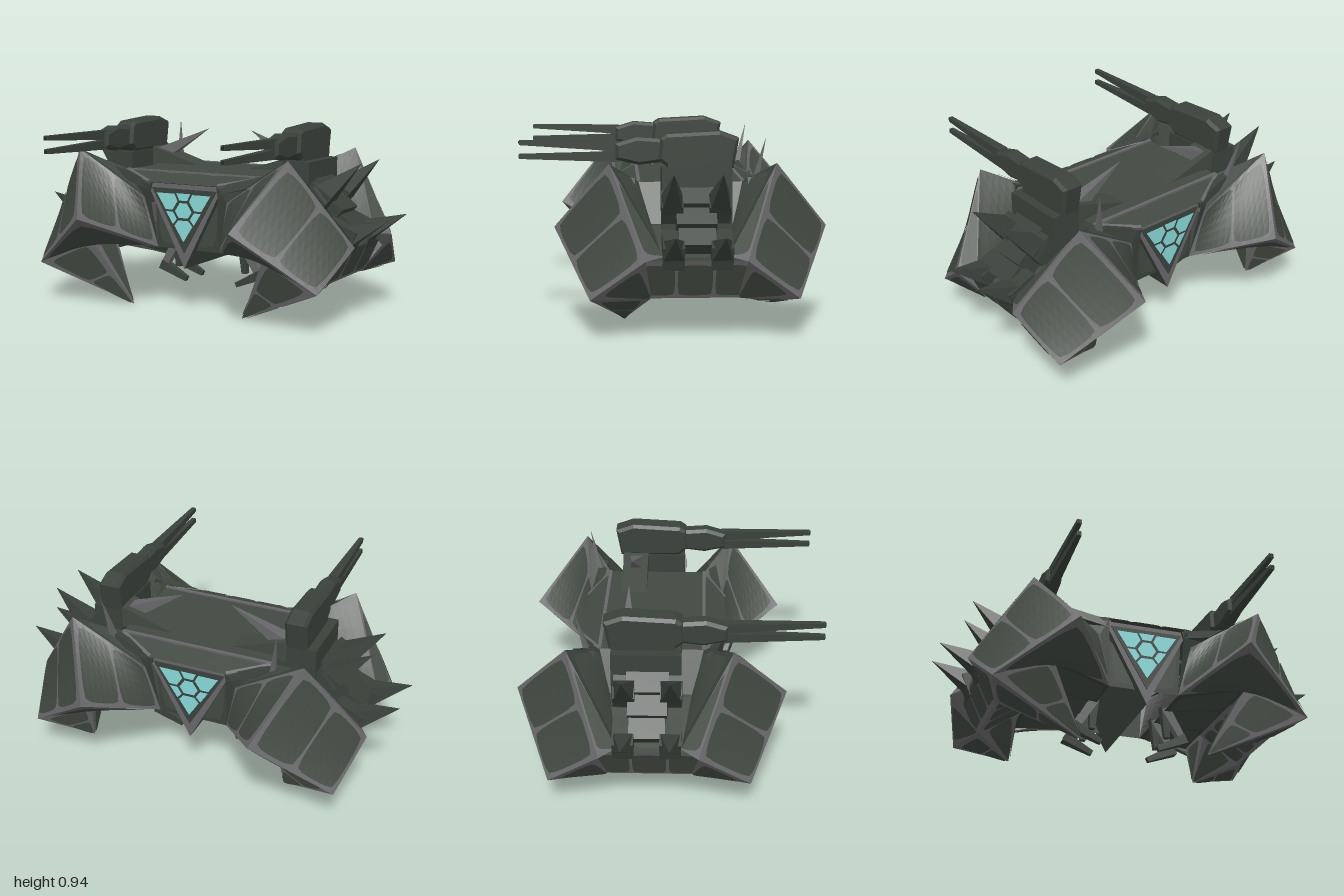
import * as THREE from 'three';

const mat = (name, color, side = THREE.FrontSide) => {
  const m = new THREE.MeshStandardMaterial({ color, flatShading: true, side });
  m.name = name;
  return m;
};
const armour = mat('dark green armour', 0x414841, THREE.DoubleSide);
const trim = mat('grey trim', 0x676668, THREE.DoubleSide);
const steel = mat('dark gun steel', 0x3a413b, THREE.DoubleSide);
const shadow = mat('near black recess', 0x232623);
const glow = mat('cyan crystal', 0x86d8d8, THREE.DoubleSide);

const V = (p) => new THREE.Vector3(...p);
const MID = -0.08; // z of the hull's middle
// point given as x, y and distance from the hull's middle, mirrored to a corner
const place = (p, sx, sz) => [p[0] * sx, p[1], MID + p[2] * sz];
const outline = (points) => new THREE.Shape(points.map((p) => new THREE.Vector2(...p)));

function add(parent, name, geometry, material) {
  const m = new THREE.Mesh(geometry, material);
  m.name = name;
  parent.add(m);
  return m;
}

function geo(positions) {
  const g = new THREE.BufferGeometry();
  g.setAttribute('position', new THREE.Float32BufferAttribute(positions, 3));
  g.computeVertexNormals();
  return g;
}

// Skin of four-cornered faces, with thin rounded armour plates over an edge colour.
// Each face: [a, b, c, d, cells along ab, cells along ad]
function skin(parent, name, faces, centre, edge = trim) {
  const base = [], plates = [];
  for (const [pa, pb, pc, pd, nu = 1, nv = 1] of faces) {
    const [a, b, c, d] = [pa, pb, pc, pd].map(V);
    const n = c.clone().sub(a).cross(d.clone().sub(b)).normalize();
    const mid = a.clone().add(b).add(c).add(d).multiplyScalar(0.25);
    const out = n.dot(mid.sub(V(centre))) > 0;
    if (!out) n.negate();
    const at = (u, v, lift) => a.clone().lerp(b, u)
      .lerp(d.clone().lerp(c, u), v).addScaledVector(n, lift);
    const grid = (list, N, f) => {
      for (let i = 0; i < N; i++) for (let j = 0; j < N; j++) {
        const q = [f(i / N, j / N), f((i + 1) / N, j / N), f((i + 1) / N, (j + 1) / N), f(i / N, (j + 1) / N)];
        for (const k of out ? [0, 1, 2, 0, 2, 3] : [0, 2, 1, 0, 3, 2]) list.push(...q[k].toArray());
      }
    };
    grid(base, 8, (u, v) => at(u, v, 0));
    const gu = 0.04 / (a.distanceTo(b) + d.distanceTo(c)), gv = 0.04 / (a.distanceTo(d) + b.distanceTo(c));
    const span = (i, cells, g) => [i ? i / cells + g / 3 : g, i < cells - 1 ? (i + 1) / cells - g / 3 : 1 - g];
    for (let i = 0; i < nu; i++) for (let j = 0; j < nv; j++) {
      const [u0, u1] = span(i, nu, gu), [v0, v1] = span(j, nv, gv);
      grid(plates, 6, (s, t) => {
        const x = 2 * s - 1, y = 2 * t - 1; // squeeze the corners round
        const r = x * Math.sqrt(1 - 0.16 * y ** 4), q = y * Math.sqrt(1 - 0.16 * x ** 4);
        return at(u0 + (u1 - u0) * (r + 1) / 2, v0 + (v1 - v0) * (q + 1) / 2, 0.006);
      });
    }
  }
  add(parent, name + 'Edges', geo(base), edge);
  add(parent, name + 'Plates', geo(plates), armour);
}

// Four-sided tapered bar or spike between two points
function bar(parent, name, p, q, r0, r1, material) {
  const a = V(p), b = V(q), dir = b.clone().sub(a);
  const m = add(parent, name, new THREE.CylinderGeometry(r1, r0, dir.length(), 4).rotateY(Math.PI / 4), material);
  m.position.copy(a).add(b).multiplyScalar(0.5);
  m.quaternion.setFromUnitVectors(new THREE.Vector3(0, 1, 0), dir.normalize());
}

function box(parent, name, size, pos, rotZ, material) {
  const m = add(parent, name, new THREE.BoxGeometry(...size), material);
  m.position.set(...pos);
  m.rotation.z = rotZ;
}

// Side profile (z, y) given thickness along x
function slab(parent, name, profile, width, x, material) {
  const bevel = 0.015;
  const g = new THREE.ExtrudeGeometry(outline(profile), {
    depth: width - 2 * bevel, bevelSize: bevel, bevelOffset: -bevel, bevelThickness: bevel, bevelSegments: 1,
  });
  g.translate(0, 0, bevel - width / 2).rotateY(-Math.PI / 2);
  add(parent, name, g, material).position.x = x;
}

function addLeg(root, sx, sz) {
  const leg = new THREE.Group();
  leg.name = (sz > 0 ? 'front' : 'back') + (sx > 0 ? 'Left' : 'Right') + 'Leg';
  root.add(leg);
  const P = (x, y, w) => place([x, y, w], sx, sz);
  const A = P(0.6, 0.8, 0.39), B = P(0.43, 0.48, 0.655), C = P(0.8, 0.2, 0.48), D = P(0.875, 0.39, 0.23);
  const E = P(0.81, 0.4, 0.15), T = P(0.4, 0.69, 0.25), F = P(0.2, 0.65, 0.36), G = P(0.5, 0.5, 0.2);
  const hip = P(0.24, 0.57, 0.335);
  const low = P(0.18, 0.31, 0.3), K = P(0.5, 0.34, 0.44), K2 = P(0.52, 0.35, 0.2), S = P(0.72, 0.19, 0.2);
  const tip = sz > 0 ? P(0.32, 0, 0.32) : P(0.52, 0.125, 0.39);
  const core = P(0.5, 0.45, 0.36);
  skin(leg, 'thigh', [
    [A, B, C, D, 1, 2], [A, B, low, hip, 1, 2], [A, D, E, E], [B, C, K, low, 1, 1],
  ], core);
  skin(leg, 'innerThigh', [[A, hip, T, T], [A, T, G, E], [F, T, hip, hip], [F, hip, low, low]], core, steel);
  bar(leg, 'hipBeam', P(0.19, 0.625, 0.33), P(0.48, 0.7, 0.29), 0.03, 0.03, steel);
  skin(leg, 'foot', [
    [C, K, tip, tip, 1, 2], [K, K2, tip, tip], [K2, S, tip, tip], [S, C, tip, tip, 1, 2], [C, D, S, S],
  ], P(0.6, 0.24, 0.32));
}

// Crystal window: centre hexagon ringed by six cells
function addCrystal(parent, sz) {
  const c = new THREE.Vector2(0, 0.51);
  const tri = [[-0.168, 0.604], [0, 0.345], [0.168, 0.604]].map((p) => new THREE.Vector2(...p));
  const third = (i, t) => tri[i % 3].clone().lerp(tri[(i + 1) % 3], t);
  const inner = (p, k = 0.56) => c.clone().lerp(p, k);
  const cells = [[]];
  for (let i = 0; i < 3; i++) {
    const p = third(i, 0.36), q = third(i, 0.64), before = third(i + 2, 0.64);
    cells[0].push(inner(p, 0.52), inner(q, 0.52));
    cells.push([inner(p), p, q, inner(q)], [inner(before), before, tri[i], p, inner(p)]);
  }
  for (const cell of cells) {
    const m = cell.reduce((s, p) => s.add(p), new THREE.Vector2()).divideScalar(cell.length);
    const g = new THREE.ShapeGeometry(new THREE.Shape(cell.map((p) => m.clone().lerp(p, 0.87))));
    add(parent, 'crystalCell', g, glow).position.z = MID + sz * 0.349;
  }
}

function addHull(root) {
  const hull = new THREE.Group();
  hull.name = 'hull';
  root.add(hull);
  const P = (x, y, w) => place([x, y, w], 1, 1);
  const across = (x0, y0, w0, x1, y1, w1, n) => [P(-x0, y0, w0), P(x0, y0, w0), P(x1, y1, w1), P(-x1, y1, w1), n, 1];
  const deck = [across(0.4, 0.69, 0.14, 0.4, 0.69, -0.25, 1), across(0.4, 0.69, 0.25, 0.4, 0.69, 0.14, 3)];
  const walls = [];
  for (const s of [1, -1]) {
    deck.push(across(0.4, 0.69, 0.25 * s, 0.2, 0.65, 0.36 * s, 3));
    walls.push(
      across(0.2, 0.65, 0.36 * s, 0.2, 0.635, 0.3 * s, 1),
      across(0.2, 0.635, 0.3 * s, 0.18, 0.31, 0.3 * s, 1),
      [P(0.18 * s, 0.31, 0.3), P(0.5 * s, 0.34, 0.44), P(0.5 * s, 0.34, -0.44), P(0.18 * s, 0.31, -0.3), 1, 3],
    );
    addCrystal(hull, s);
  }
  skin(hull, 'deck', deck, P(0, 0.5, 0), armour);
  skin(hull, 'wall', walls, P(0, 0.5, 0), steel);
  // grey rims along the front and back of the deck
  for (const s of [1, -1]) {
    bar(hull, 'deckRim', P(-0.4, 0.69, 0.25 * s), P(0.4, 0.69, 0.25 * s), 0.012, 0.012, trim);
    for (const x of [1, -1]) bar(hull, 'deckRim', P(0.4 * x, 0.69, 0.25 * s), P(0.2 * x, 0.65, 0.355 * s), 0.012, 0.012, trim);
  }
  // keel carrying both windows
  const wedge = (name, x, top, bottom, half, materials) => {
    const shape = outline([[-x, top], [0, bottom], [x, top]]);
    const g = new THREE.ExtrudeGeometry(shape, { depth: 2 * half, bevelEnabled: false });
    add(hull, name, g, materials).position.z = MID - half;
  };
  wedge('keel', 0.22, 0.645, 0.22, 0.34, [trim, armour]);
  wedge('windowSurround', 0.187, 0.622, 0.3, 0.345, steel);
}

function addSide(root, s) {
  const side = new THREE.Group();
  side.name = (s > 0 ? 'left' : 'right') + 'Side';
  root.add(side);
  const P = (x, y, w) => place([x, y, w], s, 1);
  const strip = (a, b, w, n) => [P(...a, w), P(...a, -w), P(...b, -w), P(...b, w), n, 1];
  const core = P(0.6, 0.36, 0);
  skin(side, 'flank', [
    strip([0.4, 0.69], [0.5, 0.5], 0.25, 2), strip([0.5, 0.5], [0.81, 0.38], 0.24, 3),
  ], core, steel);
  skin(side, 'skirt', [
    strip([0.81, 0.38], [0.72, 0.19], 0.26, 3), strip([0.72, 0.19], [0.5, 0.34], 0.22, 3),
  ], core);

  // upright shoulder that carries the gun, buttressed on the deck, ribs stepping down the flank
  box(side, 'shoulderBlock', [0.15, 0.29, 0.33], [0.515 * s, 0.625, -0.1], 0, steel);
  box(side, 'gunNeck', [0.1, 0.08, 0.3], [0.495 * s, 0.78, -0.115], 0, steel);
  const buttress = outline([[0.44 * s, 0.67], [0.44 * s, 0.785], [0.14 * s, 0.69], [0.14 * s, 0.67]]);
  add(side, 'buttress', new THREE.ExtrudeGeometry(buttress, { depth: 0.13, bevelEnabled: false }), armour).position.z = -0.26;
  for (let i = 0; i < 3; i++) {
    box(side, 'shoulderRib', [0.1, 0.12, 0.2 - 0.015 * i], [(0.6 + 0.065 * i) * s, 0.61 - 0.085 * i, -0.09], -0.7 * s, steel);
  }
  for (const z of [0.02, -0.2]) {
    box(side, 'upperSpikeBase', [0.12, 0.1, 0.1], [0.63 * s, 0.6, z], -0.6 * s, steel);
    bar(side, 'upperSpike', [0.65 * s, 0.61, z], [0.845 * s, 0.775, z], 0.075, 0.001, steel);
    box(side, 'lowerSpikeBase', [0.16, 0.12, 0.1], [0.75 * s, 0.42, z], -0.4 * s, steel);
    bar(side, 'lowerSpike', [0.79 * s, 0.42, z], [0.995 * s, 0.515, z], 0.07, 0.001, steel);
  }
  // horns over the deck
  bar(side, 'deckHorn', [0.43 * s, 0.73, -0.19], [0.13 * s, 0.887, -0.2], 0.055, 0.001, trim);
  bar(side, 'rearHorn', [0.42 * s, 0.68, -0.385], [0.45 * s, 0.9, -0.435], 0.022, 0.001, trim);

  // twin-barrelled gun
  const gun = new THREE.Group();
  gun.name = 'gun';
  side.add(gun);
  const x = 0.49 * s;
  slab(gun, 'gunHead', [[0.07, 0.91], [0.04, 0.93], [-0.21, 0.943], [-0.3, 0.91], [-0.275, 0.77], [0.03, 0.77], [0.08, 0.81]], 0.11, x, steel);
  slab(gun, 'gunReceiver', [[0.05, 0.905], [0.18, 0.915], [0.28, 0.885], [0.28, 0.81], [0.17, 0.785], [0.05, 0.8]], 0.08, x, steel);
  for (const [y0, y1] of [[0.872, 0.89], [0.822, 0.825]]) {
    bar(gun, 'barrel', [x, y0, 0.26], [x, y1, 0.73], 0.034, 0.016, steel);
    box(gun, 'muzzle', [0.014, 0.014, 0.006], [x, y1, 0.73], 0, shadow);
  }

  // folded claws under the belly
  for (const z of [-0.01, -0.175]) {
    bar(side, 'clawArm', [0.19 * s, 0.34, z], [0.2 * s, 0.17, z], 0.034, 0.02, steel);
    bar(side, 'clawUpper', [0.19 * s, 0.33, z], [0.285 * s, 0.17, z], 0.034, 0.026, trim);
    bar(side, 'clawTip', [0.3 * s, 0.175, z], [0.15 * s, 0.105, z], 0.036, 0.018, steel);
  }
}

export function createModel() {
  const root = new THREE.Group();
  root.name = 'walker';
  addHull(root);
  for (const sx of [1, -1]) {
    addSide(root, sx);
    for (const sz of [1, -1]) addLeg(root, sx, sz);
  }
  return root;
}
